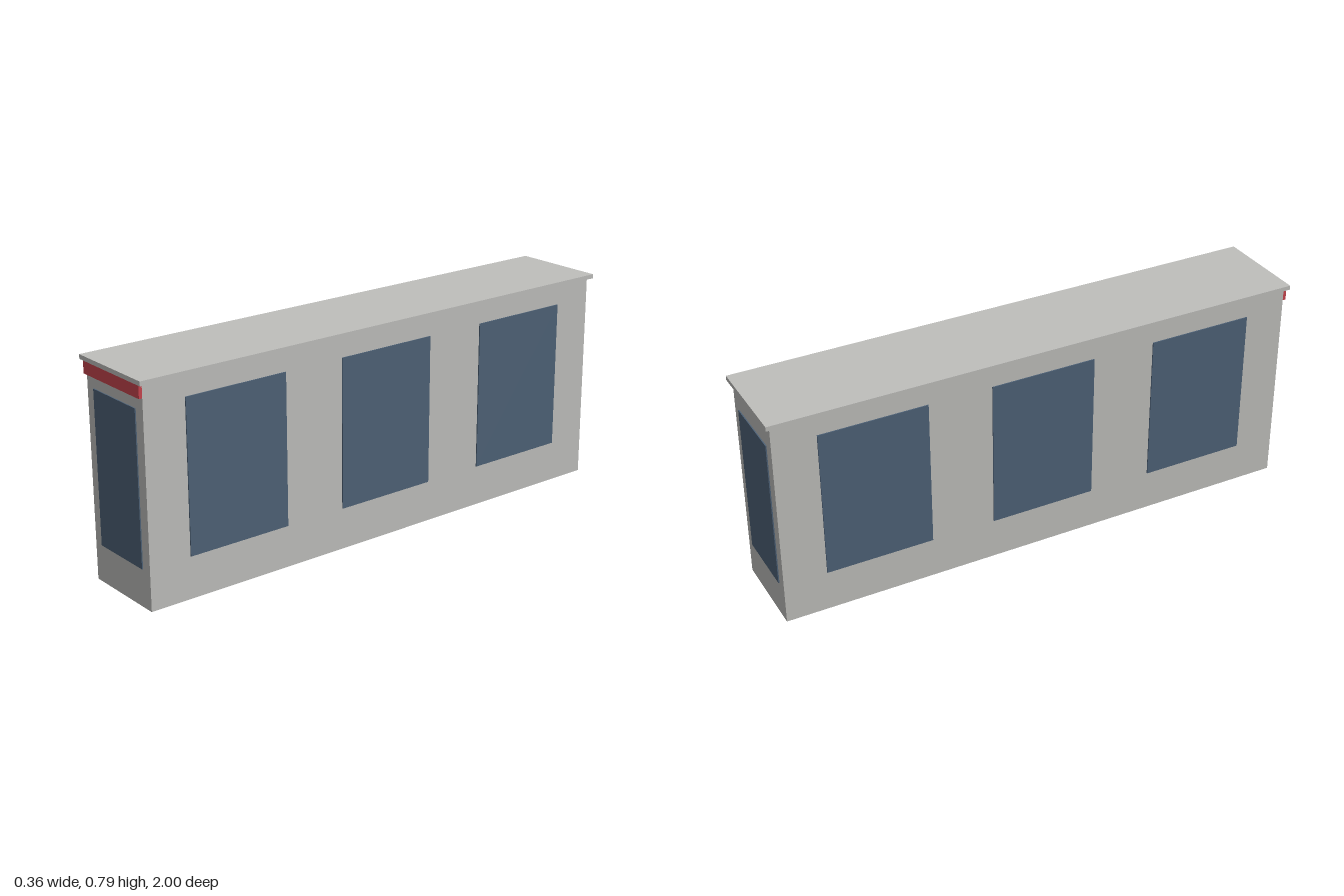
import * as THREE from 'three';

export function createModel() {
  const group = new THREE.Group();
  const material = (name, color) => {
    const m = new THREE.MeshStandardMaterial({ color });
    m.name = name;
    return m;
  };
  const wall = material('wall grey', 0xbfbfbc);
  const glass = material('window blue', 0x4e6277);
  const red = material('sign red', 0xc8454e);

  // Box given by its size and centre
  const box = (name, mat, w, h, d, x, y, z) => {
    const mesh = new THREE.Mesh(new THREE.BoxGeometry(w, h, d), mat);
    mesh.name = name;
    mesh.position.set(x, y, z);
    group.add(mesh);
  };

  const halfW = 0.164, halfL = 0.984, plate = 0.004;

  // Main block and overhanging flat roof
  box('body', wall, halfW * 2, 0.773, halfL * 2, 0, 0.3865, 0);
  box('roof', wall, 0.358, 0.016, 2, 0, 0.781, 0);

  // Red band above the front window
  box('signBand', red, halfW * 2, 0.045, 0.012, 0, 0.7495, halfL + 0.006);

  for (const side of [1, -1]) {
    // End windows, front and back
    box(side > 0 ? 'frontWindow' : 'backWindow', glass,
      0.246, 0.547, plate, 0, 0.4105, side * (halfL + plate / 2));

    // Three windows along each long wall
    for (const z of [-0.631, 0, 0.631]) {
      box(side > 0 ? 'leftWindow' : 'rightWindow', glass,
        plate, 0.547, 0.394, side * (halfW + plate / 2), 0.4255, z);
    }
  }
  return group;
}
